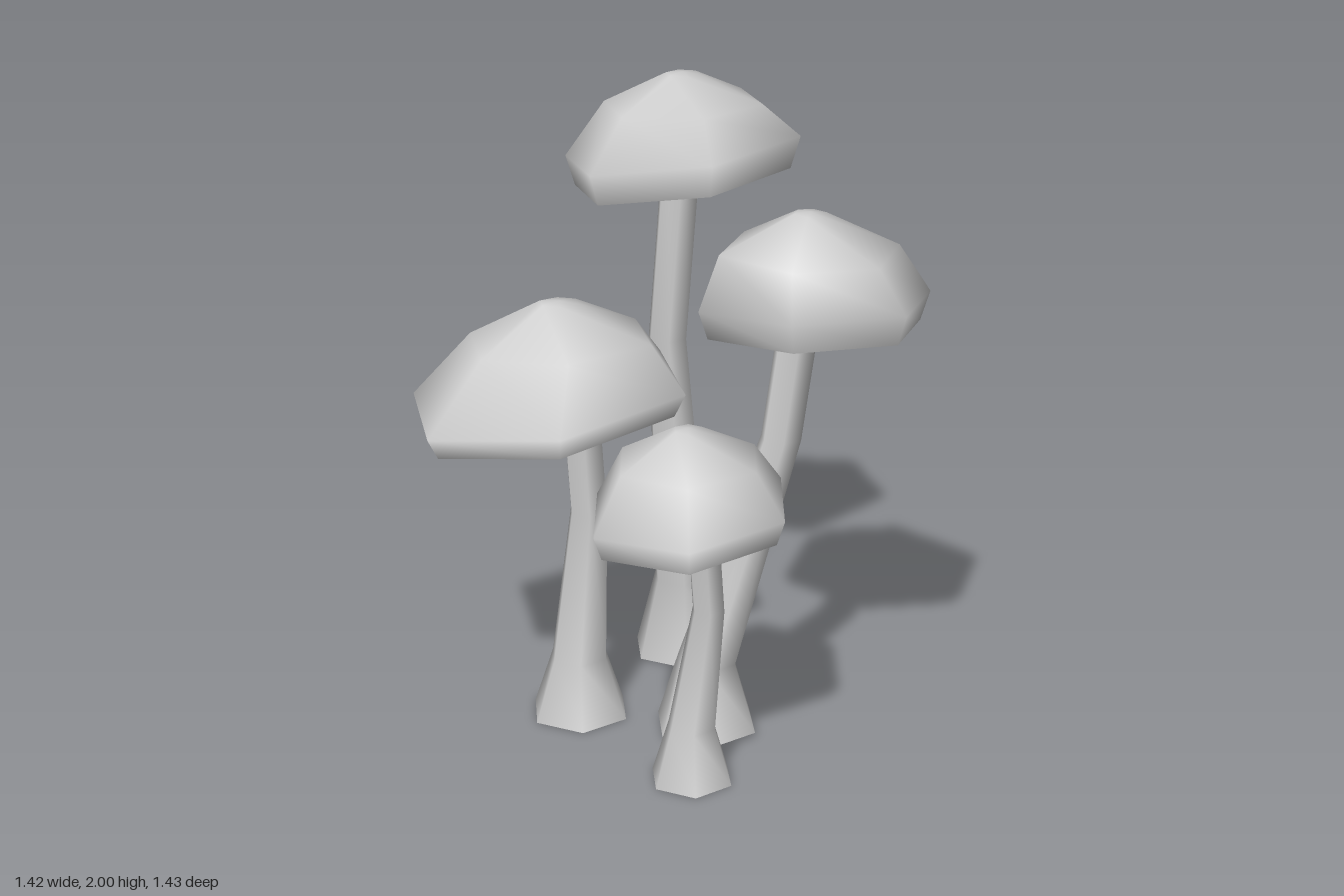
import * as THREE from 'three';

const material = new THREE.MeshStandardMaterial({ color: 0xcccccc, side: THREE.DoubleSide });
const SIDES = 6;

// Smooth skin through closed rings of points, listed from top to bottom (a one-point ring closes an end)
function loft(rings, name) {
  const positions = [], index = [], starts = [];
  for (const ring of rings) {
    starts.push(positions.length / 3);
    for (const p of ring) positions.push(...p);
  }
  for (let r = 0; r < rings.length - 1; r++) {
    const a = (i) => starts[r] + (i % rings[r].length);
    const b = (i) => starts[r + 1] + (i % rings[r + 1].length);
    for (let i = 0; i < SIDES; i++) {
      if (rings[r].length > 1) index.push(a(i), a(i + 1), b(i));
      index.push(a(i + 1), b(i + 1), b(i));
    }
  }
  const geometry = new THREE.BufferGeometry();
  geometry.setAttribute('position', new THREE.Float32BufferAttribute(positions, 3));
  geometry.setIndex(index);
  geometry.computeVertexNormals();
  const mesh = new THREE.Mesh(geometry, material);
  mesh.name = name;
  return mesh;
}

// Stem with a flared foot, bent once at the knee, ending just under the crown of the cap
function makeStem({ base, radius, footY, knee, top }, topY) {
  const ring = (x, y, z, r) => Array.from({ length: SIDES }, (_, i) => {
    const t = 0.3 + (i / SIDES) * Math.PI * 2;
    return [x + r * Math.cos(t), y, z + r * Math.sin(t)];
  });
  return loft([
    ring(top[0], topY, top[1], radius * 0.39),
    ring(...knee, radius * 0.39),
    ring(base[0], footY, base[2], radius * 0.58),
    ring(...base, radius),
  ], 'stem');
}

// Tilted hollow cap on a skewed hexagon with corners u, v, w and their opposites,
// with a shifted shoulder and a tucked-in lip
function makeCap({ center: [cx, cz], topY, rimY, slope, u, v, w, shoulder, shift, lip }) {
  const corners = [u, v, w, ...[u, v, w].map(([x, z]) => [-x, -z])];
  const ring = (scale, y, tilt, [sx, sz] = [0, 0]) => corners.map(([x, z]) => [
    cx + sx + x * scale,
    y + tilt * scale * (slope[0] * x + slope[1] * z),
    cz + sz + z * scale,
  ]);
  const shoulderY = rimY + (topY - rimY) * 0.59;
  return loft([
    [[cx + shift[0], topY, cz + shift[1]]],
    ring(0.14, topY - 0.005, 0, shift),
    ring(shoulder, shoulderY, 0.25, shift),
    ring(1, rimY, 1),
    ring(0.92, rimY - lip, 1),
  ], 'cap');
}

const mushrooms = {
  tallMushroom: {
    stem: { base: [0.325, 0, -0.26], radius: 0.17, footY: 0.27, knee: [0.23, 1.15, -0.245], top: [0.34, -0.257] },
    cap: {
      center: [0.32, -0.258], topY: 2, rimY: 1.76, slope: [0.05, 0.135],
      u: [0.395, 0.047], v: [0.15, 0.355], w: [-0.245, 0.31], shoulder: 0.67, shift: [-0.005, 0.01], lip: 0.1,
    },
  },
  leaningMushroom: {
    stem: { base: [-0.085, 0.015, 0.155], radius: 0.17, footY: 0.24, knee: [0.1, 0.97, 0.3], top: [0.2, 0.33] },
    cap: {
      center: [0.22, 0.335], topY: 1.675, rimY: 1.385, slope: [-0.05, 0.11],
      u: [0.27, 0.242], v: [-0.085, 0.38], w: [-0.323, 0.14], shoulder: 0.77, shift: [-0.035, 0], lip: 0.09,
    },
  },
  broadMushroom: {
    stem: { base: [-0.24, 0, -0.24], radius: 0.165, footY: 0.2, knee: [-0.175, 0.68, -0.245], top: [-0.2, -0.27] },
    cap: {
      center: [-0.293, -0.307], topY: 1.39, rimY: 1.09, slope: [0.12, 0.05],
      u: [0.415, 0.115], v: [0.165, 0.412], w: [-0.25, 0.268], shoulder: 0.66, shift: [0.03, 0.03], lip: 0.07,
    },
  },
  smallMushroom: {
    stem: { base: [-0.37, 0, 0.315], radius: 0.133, footY: 0.18, knee: [-0.307, 0.55, 0.33], top: [-0.365, 0.335] },
    cap: {
      center: [-0.373, 0.306], topY: 1.14, rimY: 0.895, slope: [0.08, 0.05],
      u: [0.295, 0.12], v: [0.045, 0.313], w: [-0.25, 0.193], shoulder: 0.71, shift: [0.01, -0.01], lip: 0.075,
    },
  },
};

export function createModel() {
  const model = new THREE.Group();
  model.name = 'mushroomCluster';
  for (const [name, { stem, cap }] of Object.entries(mushrooms)) {
    const mushroom = new THREE.Group();
    mushroom.name = name;
    mushroom.add(makeStem(stem, cap.topY - 0.1), makeCap(cap));
    model.add(mushroom);
  }
  return model;
}
